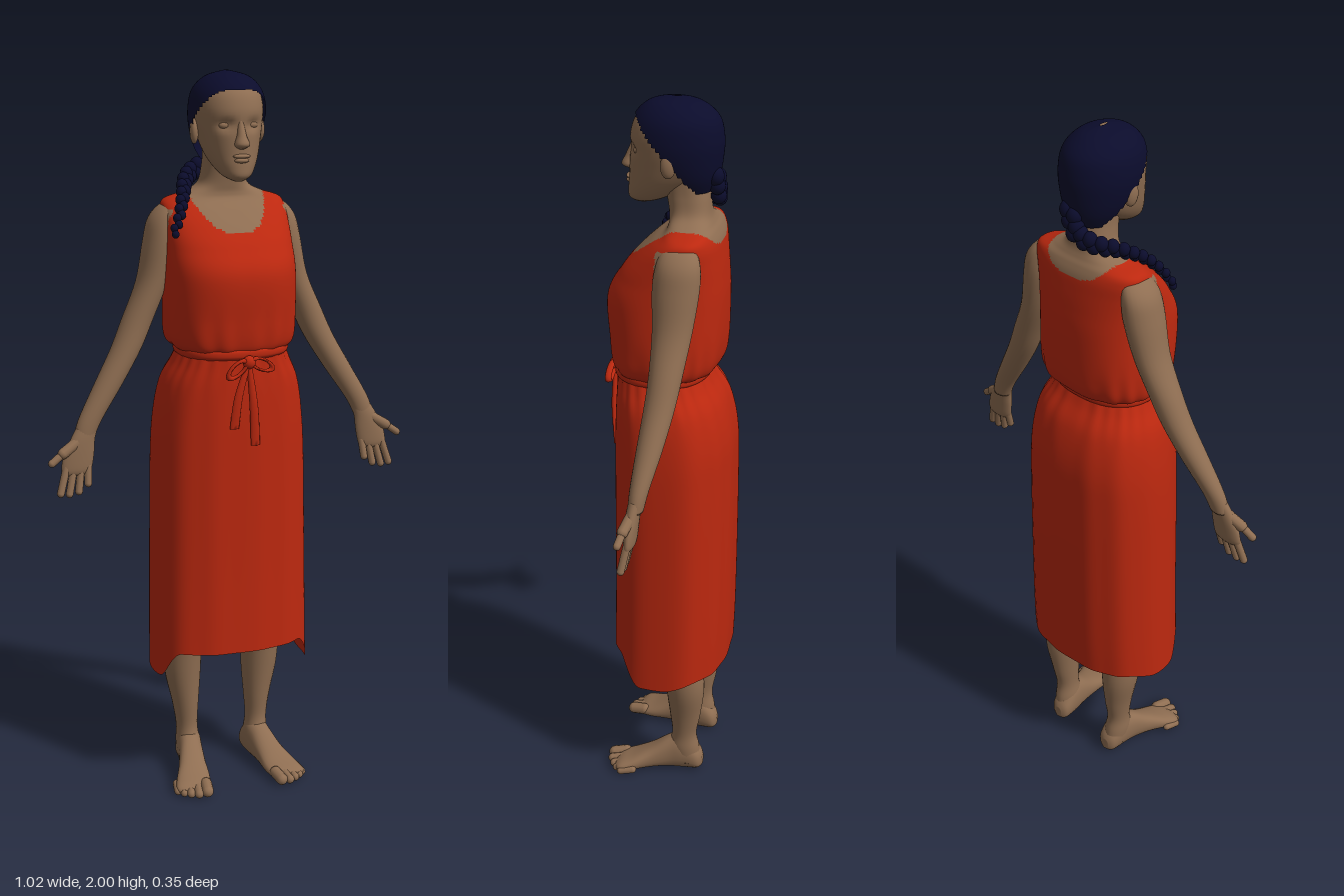
import * as THREE from 'three';

const skin = new THREE.MeshStandardMaterial({ color: 0x8f6e52, side: THREE.DoubleSide });
skin.name = 'brown skin';
const cloth = new THREE.MeshStandardMaterial({ color: 0xbc280f, side: THREE.DoubleSide });
cloth.name = 'red cloth';
const hairMat = new THREE.MeshStandardMaterial({ color: 0x0b0c2c, side: THREE.DoubleSide });
hairMat.name = 'navy hair';

const cubic = (a, b, c, d, t) =>
  b + 0.5 * t * (c - a + t * (2 * a - 5 * b + 4 * c - d + t * (3 * (b - c) + d - a)));
const bump = (d, w) => Math.exp(-(d * d) / (w * w));

// Loft through level rings [y, centreX, halfWidth, zBack, zFront], listed from low to high.
// tweak(v, angle) moves a vertex; pick(centre) gives a face's material index, or -1 for a hole.
function loft(rings, { cols = 24, steps = 5, power = 2, cap = true, tweak, pick } = {}) {
  const pos = [], lists = [[], []], n = rings.length - 1, rows = n * steps;
  const v = new THREE.Vector3();
  for (let r = 0; r <= rows; r++) {
    const k = Math.min(Math.floor(r / steps), n - 1), t = r / steps - k;
    const [y, cx, rx, zb, zf] = rings[k].map((_, c) => cubic(
      rings[Math.max(k - 1, 0)][c], rings[k][c], rings[k + 1][c], rings[Math.min(k + 2, n)][c], t));
    for (let j = 0; j < cols; j++) {
      const a = (j / cols) * Math.PI * 2, s = Math.sin(a), c = Math.cos(a), e = 2 / power;
      v.set(cx + rx * Math.sign(s) * Math.abs(s) ** e, y,
        (zb + zf) / 2 + (zf - zb) / 2 * Math.sign(c) * Math.abs(c) ** e);
      if (tweak) tweak(v, a);
      pos.push(v.x, v.y, v.z);
    }
  }
  const at = (i) => new THREE.Vector3().fromArray(pos, i * 3);
  for (let r = 0; r < rows; r++) for (let j = 0; j < cols; j++) {
    const a = r * cols + j, b = r * cols + (j + 1) % cols, c = a + cols, d = b + cols;
    const m = pick ? pick(at(a).add(at(b)).add(at(c)).add(at(d)).multiplyScalar(0.25)) : 0;
    if (m >= 0) lists[m].push(a, b, d, a, d, c);
  }
  if (cap) for (let j = 1; j < cols - 1; j++) {
    const o = rows * cols;
    lists[0].push(0, j + 1, j, o, o + j, o + j + 1);
  }
  const g = new THREE.BufferGeometry();
  g.setAttribute('position', new THREE.Float32BufferAttribute(pos, 3));
  g.setIndex([...lists[0], ...lists[1]]);
  if (lists[1].length) {
    g.addGroup(0, lists[0].length, 0);
    g.addGroup(lists[0].length, lists[1].length, 1);
  }
  g.computeVertexNormals();
  return g;
}

function add(parent, name, geometry, material) {
  const m = new THREE.Mesh(geometry, material);
  m.name = name;
  parent.add(m);
  return m;
}

// Rounded rod between two points
function rod(parent, name, p, q, r, material) {
  const a = new THREE.Vector3(...p), b = new THREE.Vector3(...q), d = b.clone().sub(a);
  const m = add(parent, name, new THREE.CapsuleGeometry(r, d.length(), 5, 10), material);
  m.position.copy(a).add(b).multiplyScalar(0.5);
  m.quaternion.setFromUnitVectors(new THREE.Vector3(0, 1, 0), d.normalize());
}

function ball(parent, name, [x, y, z], [sx, sy, sz], material) {
  const m = add(parent, name, new THREE.SphereGeometry(1, 16, 12), material);
  m.position.set(x, y, z);
  m.scale.set(sx, sy, sz);
  return m;
}

function buildHead(g) {
  add(g, 'head', loft([
    [1.722, 0, 0.012, 0.06, 0.095], [1.735, 0, 0.036, 0.02, 0.112], [1.76, 0, 0.055, -0.03, 0.113],
    [1.79, 0, 0.069, -0.07, 0.11], [1.83, 0, 0.08, -0.105, 0.108], [1.87, 0, 0.088, -0.12, 0.106],
    [1.91, 0, 0.09, -0.12, 0.104], [1.95, 0, 0.08, -0.11, 0.088], [1.98, 0, 0.05, -0.07, 0.05],
    [1.99, 0, 0.006, -0.02, 0.0],
  ], {
    cols: 48, power: 2.1,
    tweak: (v) => { // eye sockets
      if (v.z > 0) v.z -= 0.013 * bump(Math.abs(v.x) - 0.036, 0.02) * bump(v.y - 1.866, 0.014);
    },
  }), skin);
  add(g, 'nose', loft([
    [1.806, 0, 0.008, 0.09, 0.113], [1.817, 0, 0.02, 0.09, 0.132], [1.84, 0, 0.013, 0.09, 0.122],
    [1.868, 0, 0.009, 0.085, 0.109], [1.888, 0, 0.006, 0.08, 0.102],
  ], { cols: 16 }), skin);
  ball(g, 'upperLip', [0, 1.788, 0.108], [0.024, 0.006, 0.011], skin);
  ball(g, 'lowerLip', [0, 1.777, 0.108], [0.02, 0.007, 0.011], skin);
  for (const s of [-1, 1]) {
    ball(g, 'eyelid', [s * 0.036, 1.865, 0.079], [0.017, 0.01, 0.011], skin);
    ball(g, 'ear', [s * 0.09, 1.845, -0.012], [0.012, 0.033, 0.02], skin).rotation.y = s * 0.3;
  }
}

function buildHair(g) {
  add(g, 'hairCap', loft([
    [1.755, 0, 0.05, -0.105, 0], [1.8, 0, 0.08, -0.124, 0.06], [1.85, 0, 0.097, -0.133, 0.1],
    [1.9, 0, 0.101, -0.135, 0.11], [1.95, 0, 0.09, -0.122, 0.095], [1.985, 0, 0.056, -0.08, 0.058],
    [2.0, 0, 0.004, -0.025, 0],
  ], {
    cols: 72, steps: 10, cap: false,
    pick: ({ y, z }) => y > (z > 0 ? 1.865 + 0.09 * Math.min(1, z / 0.085) : Math.max(1.765, 1.865 + 1.3 * z)) ? 0 : -1,
  }), hairMat);
  // Braid from the nape over the right shoulder, as two alternating rows of lobes
  const path = new THREE.CatmullRomCurve3([
    [0.01, 1.81, -0.118], [-0.01, 1.755, -0.122], [-0.06, 1.735, -0.11], [-0.1, 1.715, -0.06],
    [-0.128, 1.675, 0.005], [-0.15, 1.63, 0.045], [-0.17, 1.59, 0.065],
  ].map((p) => new THREE.Vector3(...p)));
  const braid = new THREE.Group();
  braid.name = 'braid';
  g.add(braid);
  for (let i = 0; i <= 26; i++) {
    const t = i / 26, p = path.getPointAt(t), d = path.getTangentAt(t);
    const side = new THREE.Vector3(d.y, -d.x, 0).normalize().multiplyScalar((i % 2 ? 1 : -1) * 0.01 * (1 - 0.6 * t));
    const r = 0.025 - 0.014 * t;
    ball(braid, 'braidLobe', p.add(side).toArray(), [r * 0.9, r, r * 0.9], hairMat);
  }
}

function buildTorso(g) {
  // Bodice, neckline and neck are one surface: faces past the neckline or armhole are skin
  add(g, 'bodiceAndNeck', loft([
    [1.272, 0, 0.142, -0.1, 0.136], [1.295, 0, 0.17, -0.135, 0.148], [1.36, 0, 0.177, -0.148, 0.156],
    [1.48, 0, 0.175, -0.151, 0.163], [1.55, 0, 0.173, -0.147, 0.128], [1.6, 0, 0.173, -0.142, 0.086],
    [1.64, 0, 0.172, -0.136, 0.042], [1.665, 0, 0.16, -0.126, 0.008], [1.682, 0, 0.11, -0.115, 0],
    [1.705, 0, 0.068, -0.106, 0.002], [1.75, 0, 0.056, -0.1, 0.01], [1.8, 0, 0.055, -0.09, 0.02],
  ], {
    cols: 160, steps: 8, power: 2.5, cap: false,
    tweak: (v, a) => { // gathers above the waist
      const f = 1 + 0.014 * Math.sin(a * 14 + 2 * Math.sin(a * 3)) * bump(v.y - 1.3, 0.07);
      v.x *= f;
      v.z *= f;
    },
    pick: ({ x, y, z }) => {
      const ax = Math.abs(x), base = z > -0.05 ? 1.588 : 1.635;
      const neck = ax < 0.108 && y > base + (1.684 - base) * (ax / 0.108) ** 3;
      const armhole = ax > 0.155 && y > 1.5 && y < 1.645 && Math.abs(z + 0.05) < 0.055;
      return neck || armhole || y > 1.69 ? 0 : 1;
    },
  }), [skin, cloth]);
}

function buildSkirt(g) {
  add(g, 'skirt', loft([
    [0.36, 0, 0.224, -0.172, 0.153], [0.48, 0, 0.222, -0.176, 0.151], [0.7, 0, 0.218, -0.178, 0.148],
    [0.95, 0, 0.213, -0.178, 0.146], [1.08, 0, 0.205, -0.174, 0.145], [1.18, 0, 0.188, -0.152, 0.143],
    [1.24, 0, 0.16, -0.118, 0.14], [1.28, 0, 0.143, -0.1, 0.138],
  ], {
    cols: 120, steps: 6, power: 2.45, cap: false,
    tweak: (v, a) => { // soft folds, and a hem that dips at the sides
      const c = Math.cos(a), low = Math.max(0, (0.62 - v.y) / 0.26);
      const f = 1 + 0.008 * Math.sin(a * 11 + 2 * Math.sin(a * 2)) + 0.012 * Math.sin(a * 24) * bump(v.y - 1.25, 0.06);
      v.x *= f;
      v.z *= f;
      const hem = 0.345 + 0.083 * THREE.MathUtils.smoothstep(c, 0.25, 0.7) + 0.025 * THREE.MathUtils.smoothstep(-c, 0, 0.6);
      v.y += (hem - 0.36) * low;
    },
  }), cloth);
  add(g, 'waistband', loft([
    [1.258, 0, 0.146, -0.106, 0.14], [1.266, 0, 0.154, -0.113, 0.147], [1.28, 0, 0.154, -0.113, 0.147],
    [1.288, 0, 0.146, -0.106, 0.14],
  ], { cols: 60, power: 2.4, cap: false }), cloth);
  // Bow at the front
  const bow = new THREE.Group();
  bow.name = 'bow';
  g.add(bow);
  ball(bow, 'knot', [0.005, 1.255, 0.158], [0.018, 0.018, 0.015], cloth);
  for (const [x, y, tilt] of [[-0.028, 1.238, 0.7], [0.04, 1.247, -0.4]]) {
    const loop = add(bow, 'bowLoop', new THREE.TorusGeometry(0.026, 0.007, 8, 20), cloth);
    loop.position.set(x, y, 0.16);
    loop.rotation.z = tilt;
    loop.scale.set(1.2, 0.55, 1.3);
  }
  for (const [x, y] of [[-0.035, 1.075], [0.025, 1.025]]) {
    add(bow, 'bowTail', loft([
      [y, x, 0.013, 0.15, 0.158], [(y + 1.255) / 2, x * 0.7, 0.012, 0.152, 0.166], [1.255, 0.004, 0.007, 0.15, 0.162],
    ], { cols: 12 }), cloth);
  }
}

function buildArm(g, s) {
  const arm = new THREE.Group();
  arm.name = s > 0 ? 'leftArm' : 'rightArm';
  g.add(arm);
  const flip = (r) => [r[0], s * r[1], ...r.slice(2)];
  add(arm, 'arm', loft([
    [1.04, 0.408, 0.028, -0.026, 0.014], [1.09, 0.388, 0.033, -0.036, 0.014], [1.18, 0.333, 0.039, -0.058, 0.01],
    [1.27, 0.28, 0.042, -0.076, 0.004], [1.35, 0.243, 0.043, -0.088, 0], [1.45, 0.2, 0.043, -0.102, 0.002],
    [1.55, 0.176, 0.046, -0.114, 0.008], [1.61, 0.166, 0.041, -0.114, 0.002], [1.645, 0.152, 0.028, -0.1, -0.012],
    [1.66, 0.14, 0.01, -0.07, -0.04],
  ].map(flip)), skin);
  add(arm, 'palm', loft([
    [0.945, 0.435, 0.03, -0.004, 0.014], [0.96, 0.432, 0.042, -0.012, 0.018], [1.0, 0.424, 0.042, -0.016, 0.018],
    [1.04, 0.412, 0.034, -0.02, 0.016], [1.07, 0.398, 0.03, -0.026, 0.012],
  ].map(flip)), skin);
  [[0.4, 0.965, 0.404, 0.92], [0.42, 0.96, 0.43, 0.9], [0.44, 0.96, 0.456, 0.895], [0.46, 0.965, 0.48, 0.898]]
    .forEach(([x, y, x2, y2]) => rod(arm, 'finger', [s * x, y, 0.004], [s * x2, y2, 0.016], 0.0105, skin));
  rod(arm, 'thumbBase', [s * 0.425, 1.035, 0], [s * 0.47, 1.008, 0.012], 0.015, skin);
  rod(arm, 'thumb', [s * 0.47, 1.008, 0.012], [s * 0.502, 0.985, 0.018], 0.0105, skin);
}

function buildLeg(g, s) {
  const leg = new THREE.Group();
  leg.name = s > 0 ? 'leftLeg' : 'rightLeg';
  g.add(leg);
  const flip = (r) => [r[0], s * r[1], ...r.slice(2)];
  add(leg, 'leg', loft([
    [0.03, 0.104, 0.03, -0.113, -0.03], [0.08, 0.105, 0.034, -0.108, -0.018], [0.13, 0.107, 0.031, -0.1, -0.028],
    [0.2, 0.11, 0.038, -0.112, -0.022], [0.3, 0.117, 0.052, -0.124, -0.012], [0.4, 0.118, 0.055, -0.114, 0],
    [0.5, 0.112, 0.058, -0.1, 0.02], [0.85, 0.1, 0.08, -0.11, 0.06],
  ].map(flip)), skin);
  // Foot is lofted from heel to toes, then laid down
  add(leg, 'foot', loft([
    [-0.118, 0.1, 0.012, -0.05, -0.015], [-0.104, 0.1, 0.03, -0.075, -0.004], [-0.06, 0.103, 0.036, -0.12, -0.001],
    [-0.02, 0.109, 0.036, -0.108, -0.002], [0.03, 0.12, 0.041, -0.075, -0.002], [0.08, 0.133, 0.05, -0.048, -0.001],
    [0.115, 0.142, 0.05, -0.034, -0.001], [0.132, 0.14, 0.038, -0.024, -0.004],
  ].map(flip), { power: 2.3 }).rotateX(Math.PI / 2), skin);
  [[0.112, 0.15, 0.017], [0.137, 0.15, 0.013], [0.157, 0.14, 0.012], [0.174, 0.128, 0.011], [0.188, 0.112, 0.011]]
    .forEach(([x, z, r]) => rod(leg, 'toe', [s * (x - 0.006), r + 0.006, z - 0.035], [s * x, r, z], r, skin));
}

export function createModel() {
  const model = new THREE.Group();
  model.name = 'womanInRedDress';
  buildHead(model);
  buildHair(model);
  buildTorso(model);
  buildSkirt(model);
  for (const s of [-1, 1]) {
    buildArm(model, s);
    buildLeg(model, s);
  }
  return model;
}
